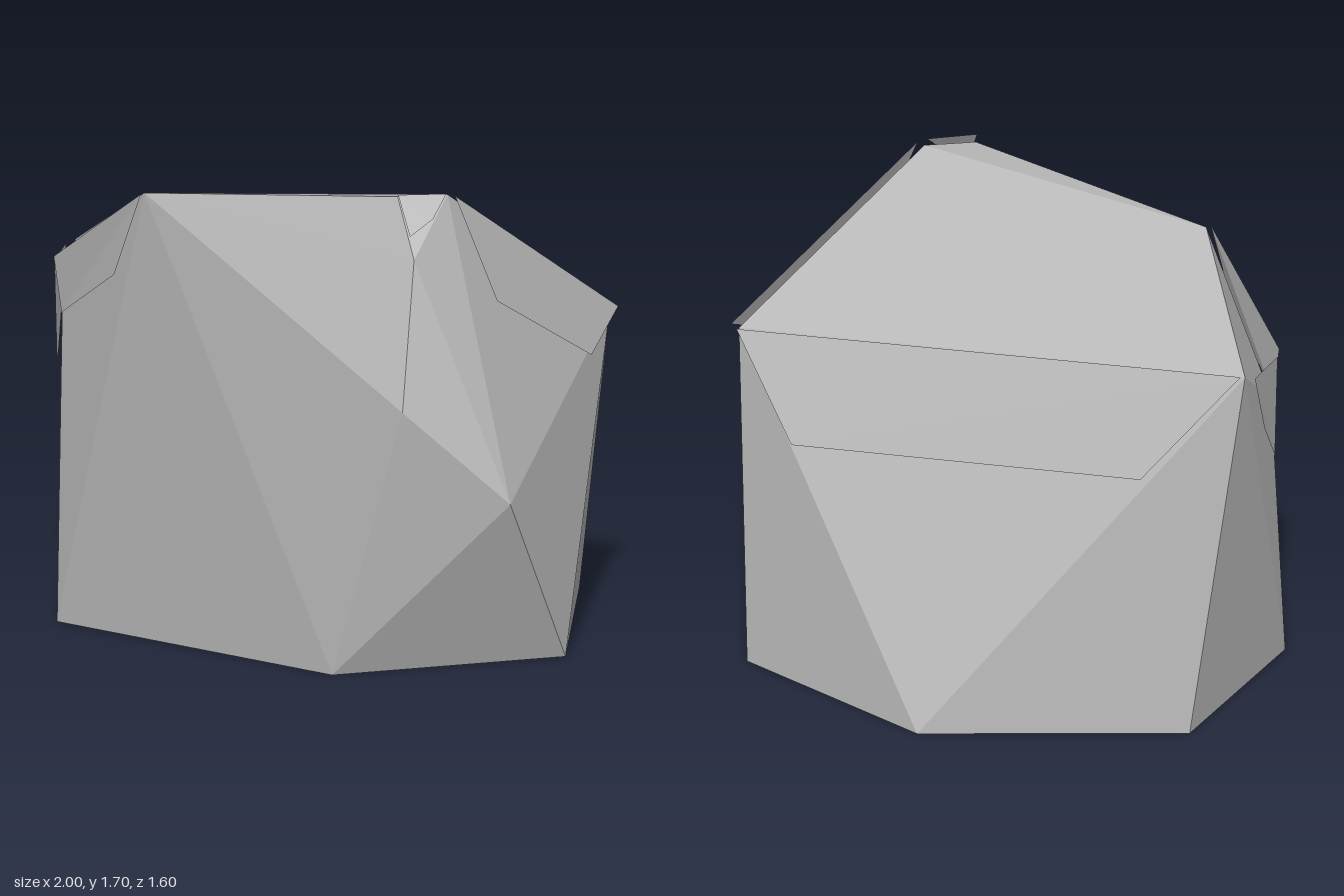
import * as THREE from 'three';
import { ConvexGeometry } from 'three/addons/geometries/ConvexGeometry.js';

const v = (p) => new THREE.Vector3(...p);

// Thin four-cornered flake of stone, two triangles seen from both sides
function flake(name, corners, material) {
  const [a, b, c, d] = corners.map(v);
  const geometry = new THREE.BufferGeometry().setFromPoints([a, b, c, a, c, d]);
  geometry.computeVertexNormals();
  const mesh = new THREE.Mesh(geometry, material);
  mesh.name = name;
  return mesh;
}

export function createModel() {
  const group = new THREE.Group();
  group.name = 'rock';

  const stone = new THREE.MeshStandardMaterial({ color: 0xb0b0b0, flatShading: true, side: THREE.DoubleSide });
  stone.name = 'grey stone';

  // Faceted boulder: flat six-sided foot, bulging front, sloping top
  const foot = [
    [-0.97, 0, 0.2], [0.08, 0, 0.8], [0.875, 0, 0.46],
    [0.82, 0, -0.47], [0.08, 0, -0.8], [-0.84, 0, -0.5],
  ];
  const flanks = [
    [0.33, 0.97, 0.79], [0.71, 0.63, 0.74], [0.35, 1.48, 0.6], [-0.97, 1.1, 0.04],
  ];
  const crown = [
    [-0.65, 1.61, 0.28], [0.28, 1.685, 0.5], [0.45, 1.68, 0.43],
    [0.97, 1.13, -0.1], [-0.95, 1.3, -0.2],
  ];
  const boulder = new THREE.Mesh(new ConvexGeometry([...foot, ...flanks, ...crown].map(v)), stone);
  boulder.name = 'boulder';
  group.add(boulder);

  // Flakes standing just proud of the crown's rim
  group.add(
    flake('backFlake', [[-0.94, 1.31, -0.22], [0.97, 1.14, -0.13], [0.7, 0.82, -0.33], [-0.62, 0.93, -0.39]], stone),
    flake('leftFlake', [[0.48, 1.68, 0.45], [0.63, 1.3, 0.455], [0.93, 1.02, 0.125], [1.0, 1.14, -0.1]], stone),
    flake('peakFlake', [[0.285, 1.7, 0.53], [0.335, 1.565, 0.595], [0.41, 1.615, 0.53], [0.45, 1.69, 0.46]], stone),
    flake('frontRightFlake', [[-0.66, 1.61, 0.3], [-1.0, 1.3, 0.04], [-0.97, 1.1, 0.06], [-0.76, 1.3, 0.26]], stone),
    flake('rightFlake', [[-0.98, 1.29, -0.18], [-0.99, 1.05, -0.1], [-0.99, 0.88, 0.02], [-1.0, 1.28, 0.02]], stone),
  );

  return group;
}
